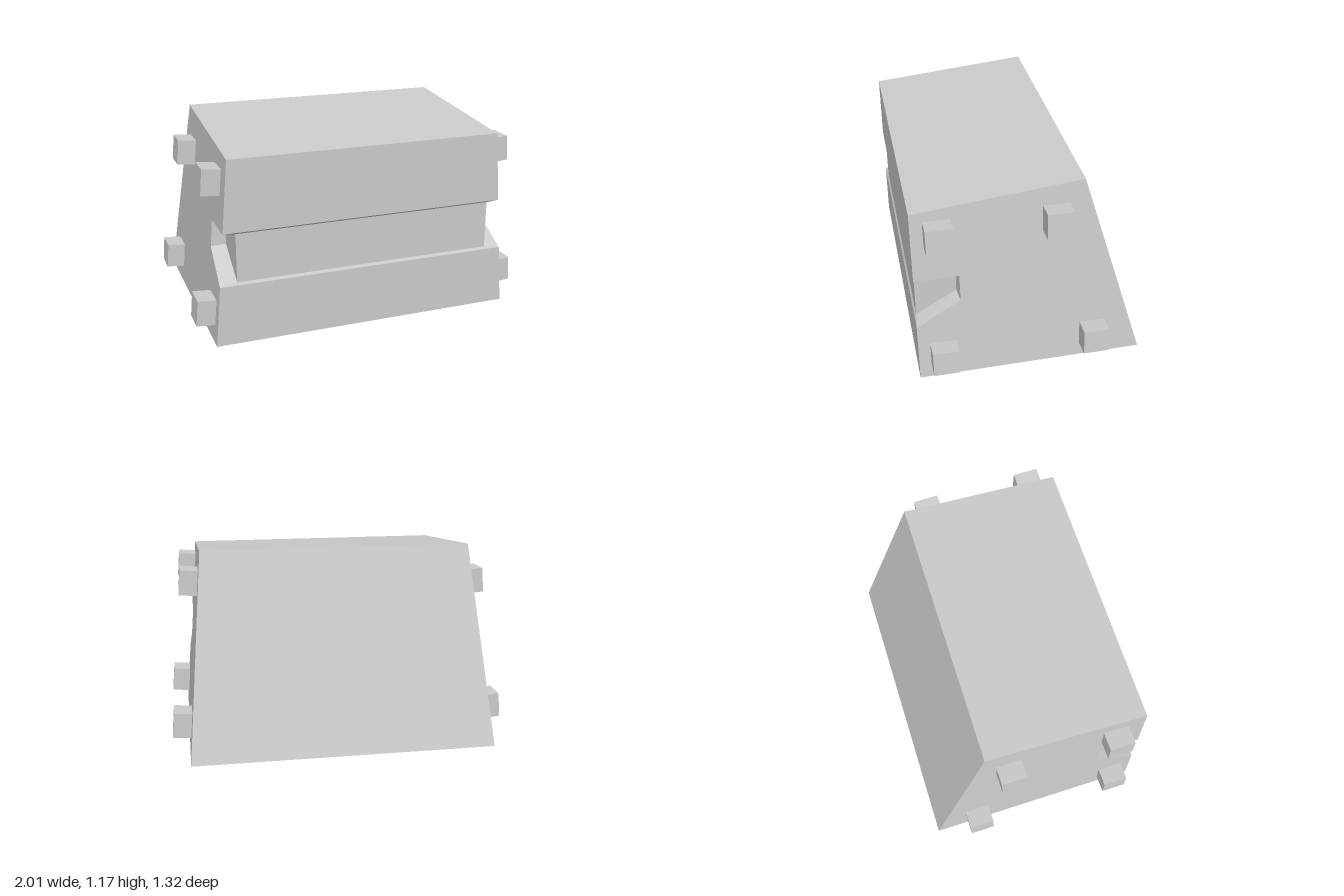
import * as THREE from 'three';

const CX = -0.005;                       // body centre in x
const SLOPE = 0.1 / 1.175;               // inward lean of the side walls
const halfWidth = (y) => 0.905 - SLOPE * y;

// Side profile as [z, y]; the middle four corners form the front notch
const NOTCH = [[0.66, 0.355], [0.405, 0.505], [0.405, 0.665], [0.66, 0.665]];
const PROFILE = [[-0.66, 0], [0.66, 0], ...NOTCH, [0.66, 1.08], [-0.3, 1.175]];
// The recessed panel block, slightly smaller than the notch
const INNER = [[0.65, 0.37], [0.415, 0.512], [0.415, 0.655], [0.65, 0.655]];
const INNER_X = 0.775;

function createBody() {
  const pos = [];
  const outer = ([z, y], s) => [CX + s * halfWidth(y), y, z];
  const inner = ([z, y], s) => [CX + s * INNER_X, y, z];
  const tri = (a, b, c) => pos.push(...a, ...b, ...c);
  const quad = (a, b, c, d) => { tri(a, b, c); tri(a, c, d); };
  const mirrored = (s, a, b, c, d) => (s > 0 ? quad(a, b, c, d) : quad(d, c, b, a));

  // Side walls, capped from the triangulated profile
  const contour = PROFILE.map(([z, y]) => new THREE.Vector2(z, y));
  for (const face of THREE.ShapeUtils.triangulateShape(contour, [])) {
    let [a, b, c] = face.map((i) => PROFILE[i]);
    const area = (b[0] - a[0]) * (c[1] - a[1]) - (b[1] - a[1]) * (c[0] - a[0]);
    if (area > 0) [b, c] = [c, b];
    tri(outer(a, 1), outer(b, 1), outer(c, 1));
    tri(outer(a, -1), outer(c, -1), outer(b, -1));
  }

  // Bottom, front, top and back skin, skipping the notch
  PROFILE.forEach((p, i) => {
    if (i >= 2 && i <= 4) return;
    const q = PROFILE[(i + 1) % PROFILE.length];
    quad(outer(p, -1), outer(p, 1), outer(q, 1), outer(q, -1));
  });

  // Notch walls narrowing to the ends of the recessed panel block
  for (const s of [1, -1]) {
    for (let i = 0; i < 3; i++) {
      mirrored(s, outer(NOTCH[i], s), outer(NOTCH[i + 1], s), inner(INNER[i + 1], s), inner(INNER[i], s));
    }
    mirrored(s, ...[3, 2, 1, 0].map((i) => inner(INNER[i], s)).reverse());
  }

  // Recessed front panel and the thin lips below and above it
  const [a, , , d] = INNER;
  const [A, , , D] = NOTCH;
  quad(inner(a, -1), inner(a, 1), inner(d, 1), inner(d, -1));
  quad(outer(A, -1), outer(A, 1), inner(a, 1), inner(a, -1));
  quad(inner(d, -1), inner(d, 1), outer(D, 1), outer(D, -1));

  const geometry = new THREE.BufferGeometry();
  geometry.setAttribute('position', new THREE.Float32BufferAttribute(pos, 3));
  geometry.computeVertexNormals();
  return geometry;
}

export function createModel() {
  const group = new THREE.Group();
  const material = new THREE.MeshStandardMaterial({ color: 0xcccccc, flatShading: true, side: THREE.DoubleSide });

  const body = new THREE.Mesh(createBody(), material);
  body.name = 'body';
  group.add(body);

  // Square lugs standing out from the leaning side walls: [side, y, z]
  const lugs = [
    [1, 0.16, 0.515], [1, 0.16, -0.365], [1, 0.955, 0.515], [1, 0.967, -0.14],
    [-1, 0.178, 0.52], [-1, 0.178, -0.383], [-1, 0.926, 0.483], [-1, 0.926, -0.163],
  ];
  const lugGeometry = new THREE.BoxGeometry(0.15, 0.15, 0.15);
  for (const [side, y, z] of lugs) {
    const lug = new THREE.Mesh(lugGeometry, material);
    lug.name = side > 0 ? 'leftLug' : 'rightLug';
    lug.position.set(CX + side * (halfWidth(y) + 0.032), y + 0.003, z);
    lug.rotation.z = side * Math.atan(SLOPE);
    group.add(lug);
  }
  return group;
}
